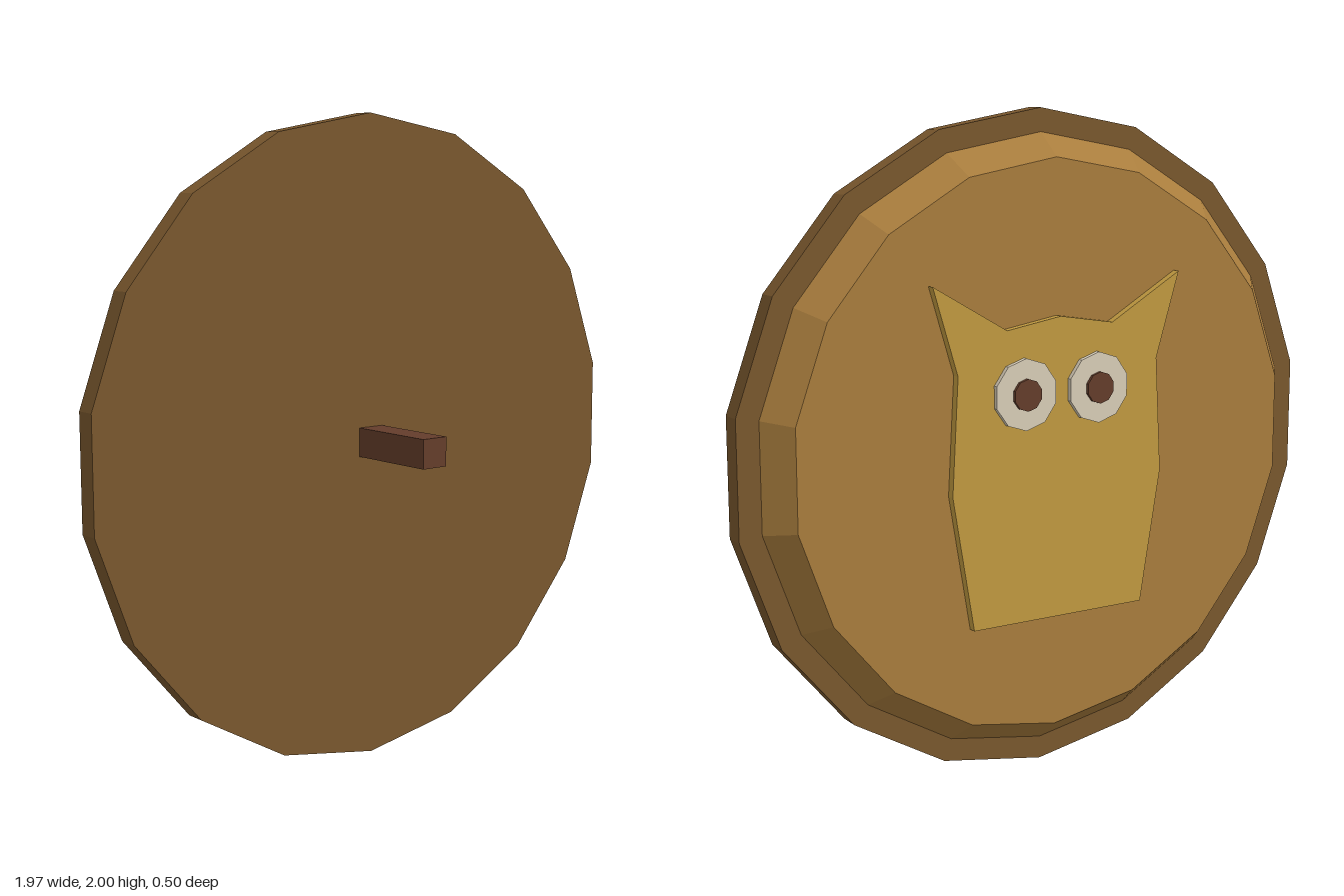
import * as THREE from 'three';

const material = (name, color) => {
  const m = new THREE.MeshStandardMaterial({ color, flatShading: true });
  m.name = name;
  return m;
};

export function createModel() {
  const group = new THREE.Group();
  const rimBrown = material('rim brown', 0x7a582e);
  const boardTan = material('board tan', 0xa97d3d);
  const owlGold = material('owl gold', 0xc19a41);
  const eyeCream = material('eye cream', 0xd9ceb8);
  const darkWood = material('dark wood', 0x643d2b);

  const add = (name, geometry, mat, x, y, z) => {
    const mesh = new THREE.Mesh(geometry, mat);
    mesh.name = name;
    mesh.position.set(x, y, z);
    group.add(mesh);
  };

  // Faceted disc along z, given its radius at the front and back ends
  const addDisc = (name, mat, x, y, zFront, zBack, rFront, rBack, sides) => {
    const g = new THREE.CylinderGeometry(rFront, rBack, zFront - zBack, sides);
    g.rotateX(Math.PI / 2);
    add(name, g, mat, x, y, (zFront + zBack) / 2);
  };

  // Round board with a bevelled raised face
  addDisc('rim', rimBrown, 0, 1, -0.05, -0.115, 1, 1, 18);
  addDisc('raisedBoard', boardTan, 0, 1, -0.115, -0.2, 0.93, 0.86, 18);

  // Mounting peg
  add('peg', new THREE.BoxGeometry(0.09, 0.09, 0.3), darkWood, 0, 1, 0.1);

  // Owl silhouette, half outline mirrored about x = 0
  const half = [[0.3, 0.49], [0.37, 0.9], [0.35, 1.25], [0.43, 1.51], [0.185, 1.37]];
  const outline = [
    ...half, [0, 1.4],
    ...half.slice().reverse().map(([x, y]) => [-x, y]),
  ].map(([x, y]) => new THREE.Vector2(x, y));
  const owl = new THREE.ExtrudeGeometry(new THREE.Shape(outline), { depth: 0.025, bevelEnabled: false });
  add('owl', owl, owlGold, 0, 0, -0.225);

  // Eyes
  for (const [side, s] of [['left', 1], ['right', -1]]) {
    addDisc(side + 'Eye', eyeCream, s * 0.128, 1.18, -0.22, -0.24, 0.107, 0.107, 10);
    addDisc(side + 'Pupil', darkWood, s * 0.128, 1.18, -0.235, -0.25, 0.048, 0.048, 10);
  }
  return group;
}
